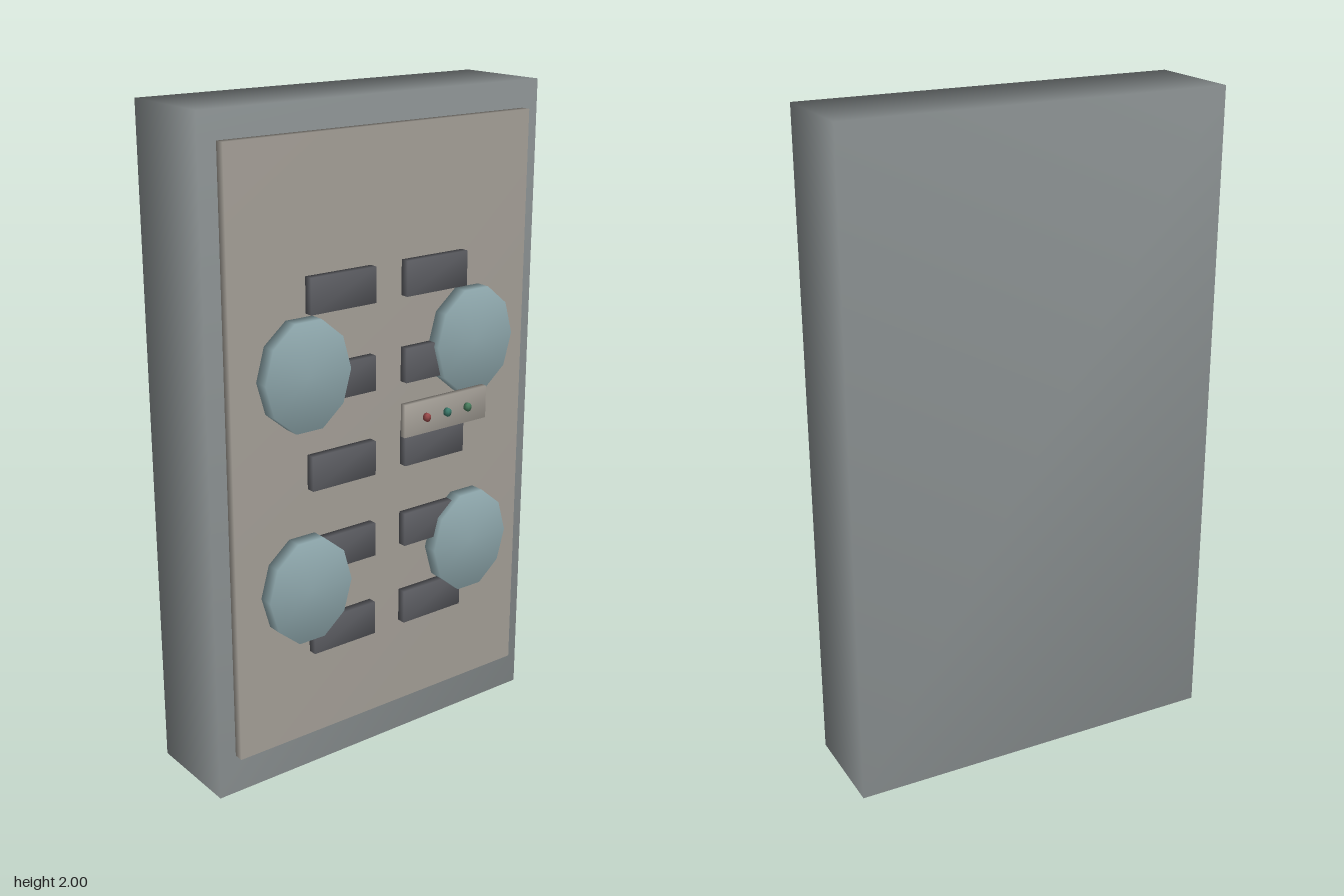
import * as THREE from 'three';
import { mergeVertices } from 'three/addons/utils/BufferGeometryUtils.js';

// Weld all corners so the shading rolls softly over the edges
function weld(geometry) {
  geometry.deleteAttribute('uv');
  geometry.deleteAttribute('normal');
  const welded = mergeVertices(geometry, 1e-4);
  welded.computeVertexNormals();
  return welded;
}

export function createModel() {
  const model = new THREE.Group();
  const paint = (color) => new THREE.MeshStandardMaterial({ color });
  const bodyGrey = paint(0x8c9293);
  const panelGrey = paint(0xa29d95);
  const slotGrey = paint(0x5a5b60);
  const discBlue = paint(0x8ea7ac);

  function add(name, geometry, material, x, y, z) {
    const mesh = new THREE.Mesh(weld(geometry), material);
    mesh.name = name;
    mesh.position.set(x, y, z);
    model.add(mesh);
  }

  // Box given by its x, y centre, size and z range
  function box(name, material, x, y, w, h, z0, z1) {
    add(name, new THREE.BoxGeometry(w, h, z1 - z0), material, x, y, (z0 + z1) / 2);
  }

  // Prism facing +z with an elliptical outline and a corner on the x axis
  function disc(name, material, sides, x, y, rx, ry, z0, z1) {
    const geometry = new THREE.CylinderGeometry(1, 1, z1 - z0, sides);
    geometry.rotateY(Math.PI / 2).rotateX(Math.PI / 2).scale(rx, ry, 1);
    add(name, geometry, material, x, y, (z0 + z1) / 2);
  }

  // Slab and raised front panel
  box('body', bodyGrey, 0, 1, 1.17, 2, -0.21, 0.1);
  box('frontPanel', panelGrey, 0, 1.022, 1.055, 1.795, 0.1, 0.13);

  // Two mirrored columns of slots and pads
  for (const side of [-1, 1]) {
    for (let i = 0; i < 5; i++) {
      box('slot', slotGrey, side * 0.167, 0.455 + i * 0.2575, 0.223, 0.104, 0.13, 0.157);
    }
    for (const y of [0.622, 1.267]) {
      disc('pad', discBlue, 10, side * 0.301, y, 0.143, 0.165, 0.13, 0.176);
    }
  }

  // Control strip with three buttons
  box('controlStrip', panelGrey, 0.174, 1.076, 0.31, 0.1, 0.178, 0.198);
  [0x9a4a4a, 0x3f7f70, 0x4a7f5f].forEach((color, i) => {
    disc('button', paint(color), 10, 0.096 + i * 0.078, 1.076, 0.011, 0.013, 0.198, 0.21);
  });

  return model;
}
